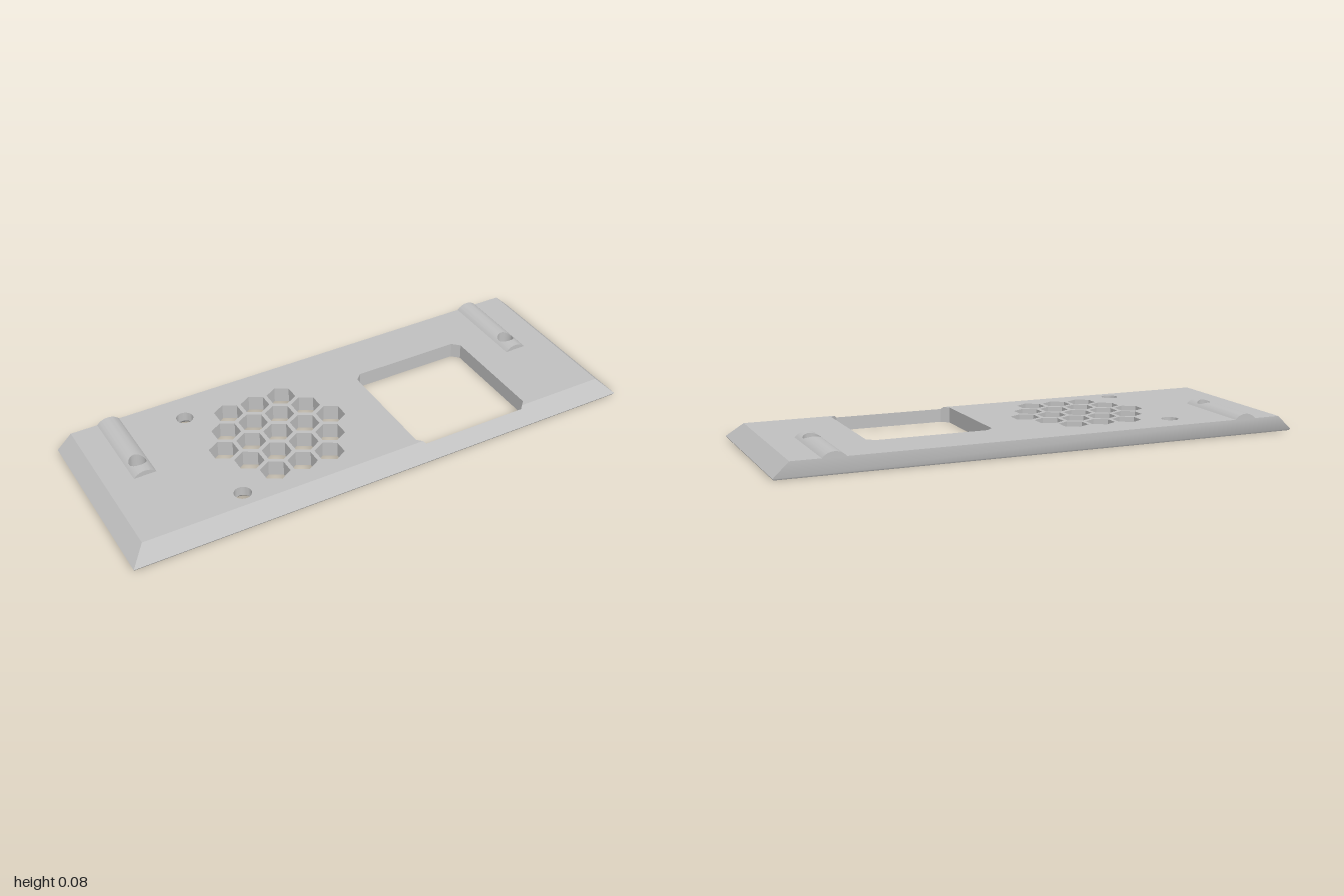
import * as THREE from 'three';
import { toCreasedNormals, mergeGeometries } from 'three/addons/utils/BufferGeometryUtils.js';

const TOP = 0.06, RIM = 0.006, INSET = 0.004;
const BACK = -0.363, FRONT = 0.363, EDGE = 0.308, SIDE = 0.943;
const HOLE_R = 0.032, SINK_R = 0.055, SINK_H = 0.023;
const RIB_W = 0.043, RIB_H = 0.02, RIB_FRONT = -0.01, RIB_HOLE_Z = -0.08;
const ARC_R = (RIB_W ** 2 + RIB_H ** 2) / (2 * RIB_H);

// height of the plate's upper skin at depth z, and of a rib at offset dx
const skinY = (z) => TOP - Math.max(0, z - EDGE) * (TOP - RIM) / (FRONT - EDGE);
const ribY = (dx) => TOP + RIB_H - ARC_R + Math.sqrt(ARC_R ** 2 - dx * dx);

// regular outline, counter-clockwise seen from above, as [x, z] pairs
function ring(cx, cz, r, n, turn = 0) {
  return Array.from({ length: n }, (_, i) => {
    const a = turn + i * 2 * Math.PI / n;
    return [cx + r * Math.cos(a), cz - r * Math.sin(a)];
  });
}

const lift = (pts, y) => pts.map(([x, z]) => [x, typeof y === 'function' ? y(x, z) : y, z]);

// quads between two rows of 3D points
function loft(a, b, closed = true) {
  const pos = [];
  for (let i = 0; i < a.length - (closed ? 0 : 1); i++) {
    const j = (i + 1) % a.length;
    pos.push(...a[i], ...a[j], ...b[j], ...a[i], ...b[j], ...b[i]);
  }
  const g = new THREE.BufferGeometry();
  g.setAttribute('position', new THREE.Float32BufferAttribute(pos, 3));
  return g;
}

// flat or sloping skin from an [x, z] outline with holes
function face(outline, holes, yOf, down = false) {
  const v = (pts) => pts.map(([x, z]) => new THREE.Vector2(x, -z));
  const shape = new THREE.Shape(v(outline));
  holes.forEach((h) => shape.holes.push(new THREE.Path(v(h))));
  const g = new THREE.ShapeGeometry(shape).rotateX(-Math.PI / 2).toNonIndexed();
  g.deleteAttribute('uv');
  g.deleteAttribute('normal');
  const p = g.attributes.position;
  for (let i = 0; i < p.count; i++) p.setY(i, yOf(p.getZ(i)));
  if (down) {
    for (let i = 0; i < p.count; i += 3) {
      const t = [p.getX(i), p.getY(i), p.getZ(i)];
      p.setXYZ(i, p.getX(i + 1), p.getY(i + 1), p.getZ(i + 1));
      p.setXYZ(i + 1, ...t);
    }
  }
  return g;
}

export function createModel() {
  const group = new THREE.Group();
  const grey = new THREE.MeshStandardMaterial({ color: 0xc0c0c0 });
  grey.name = 'plain grey';
  const add = (name, parts) => {
    const mesh = new THREE.Mesh(toCreasedNormals(mergeGeometries(parts), 0.6), grey);
    mesh.name = name;
    group.add(mesh);
  };

  // honeycomb vent: rows of 3, 4, 5, 4, 3
  const hexes = [];
  for (let row = -2; row <= 2; row++) {
    const n = 5 - Math.abs(row);
    for (let i = 0; i < n; i++) {
      hexes.push(ring(-0.276 + (i - (n - 1) / 2) * 0.11, row * 0.0955, 0.0545, 6, Math.PI / 6));
    }
  }

  // window, cutting slightly into the front bevel
  const win = [[0.166, 0.317], [0.588, 0.317], [0.597, EDGE], [0.615, 0.29], [0.615, -0.139],
    [0.588, -0.166], [0.166, -0.166], [0.139, -0.139], [0.139, 0.29], [0.157, EDGE]];

  const ribXs = [-0.797, 0.791];
  const screws = [
    { x: -0.54, z: -0.245 }, { x: -0.54, z: 0.245 },
    ...ribXs.map((x) => ({ x, z: RIB_HOLE_Z, rib: true })),
  ];

  // plate skins
  const rect = (x, z0, z1) => [[-x, z1], [x, z1], [x, z0], [-x, z0]];
  const under = rect(1 - INSET, BACK + INSET, FRONT - INSET);
  const rim = rect(1, BACK, FRONT);
  const crown = rect(SIDE, BACK, EDGE);
  const from1 = (r) => [r[1], r[2], r[3], r[0]];
  const topOutline = [crown[0], win[9], win[8], win[7], win[6], win[5], win[4], win[3], win[2],
    crown[1], crown[2], crown[3]];
  const bevel = [rim[0], rim[1], crown[1], win[2], win[1], win[0], win[9], crown[0]];
  add('plate', [
    face(topOutline, [...hexes, ...screws.map((s) => ring(s.x, s.z, HOLE_R, 24))], () => TOP),
    face(bevel, [], skinY),
    face(under, [win, ...hexes, ...screws.map((s) => ring(s.x, s.z, SINK_R, 24))], () => 0, true),
    loft(lift(under, 0), lift(rim, RIM)),
    loft(lift(from1(rim), RIM), lift(from1(crown), TOP), false),
  ]);

  // walls of the openings
  const inner = [...win].reverse();
  add('windowWalls', [loft(lift(inner, 0), lift(inner, (x, z) => skinY(z)))]);
  add('ventWalls', hexes.map((h) => {
    const r = [...h].reverse();
    return loft(lift(r, 0), lift(r, TOP));
  }));

  // countersunk screw holes
  screws.forEach((s) => {
    const wide = ring(s.x, s.z, SINK_R, 24).reverse();
    const bore = ring(s.x, s.z, HOLE_R, 24).reverse();
    add('screwHole', [
      loft(lift(wide, 0), lift(bore, SINK_H)),
      loft(lift(bore, SINK_H), lift(bore, s.rib ? (x) => ribY(x - s.x) : TOP)),
    ]);
  });

  // rounded ribs, pierced by the screw holes
  const dxs = [-RIB_W, -0.038];
  for (let i = 12; i >= 0; i--) dxs.push(HOLE_R * Math.cos(i * Math.PI / 12));
  dxs.push(0.038, RIB_W);
  const half = (d) => Math.sqrt(Math.max(0, HOLE_R ** 2 - d * d));
  ribXs.forEach((cx) => {
    const row = (zOf, yOf = ribY) => dxs.map((d) => [cx + d, yOf(d), zOf(d)]);
    const base = () => TOP;
    add('rib', [
      loft(row((d) => RIB_HOLE_Z - half(d)), row(() => BACK), false),
      loft(row(() => RIB_FRONT), row((d) => RIB_HOLE_Z + half(d)), false),
      loft(row(() => RIB_FRONT, base), row(() => RIB_FRONT), false),
      loft(row(() => BACK, base).reverse(), row(() => BACK).reverse(), false),
    ]);
  });

  return group;
}
